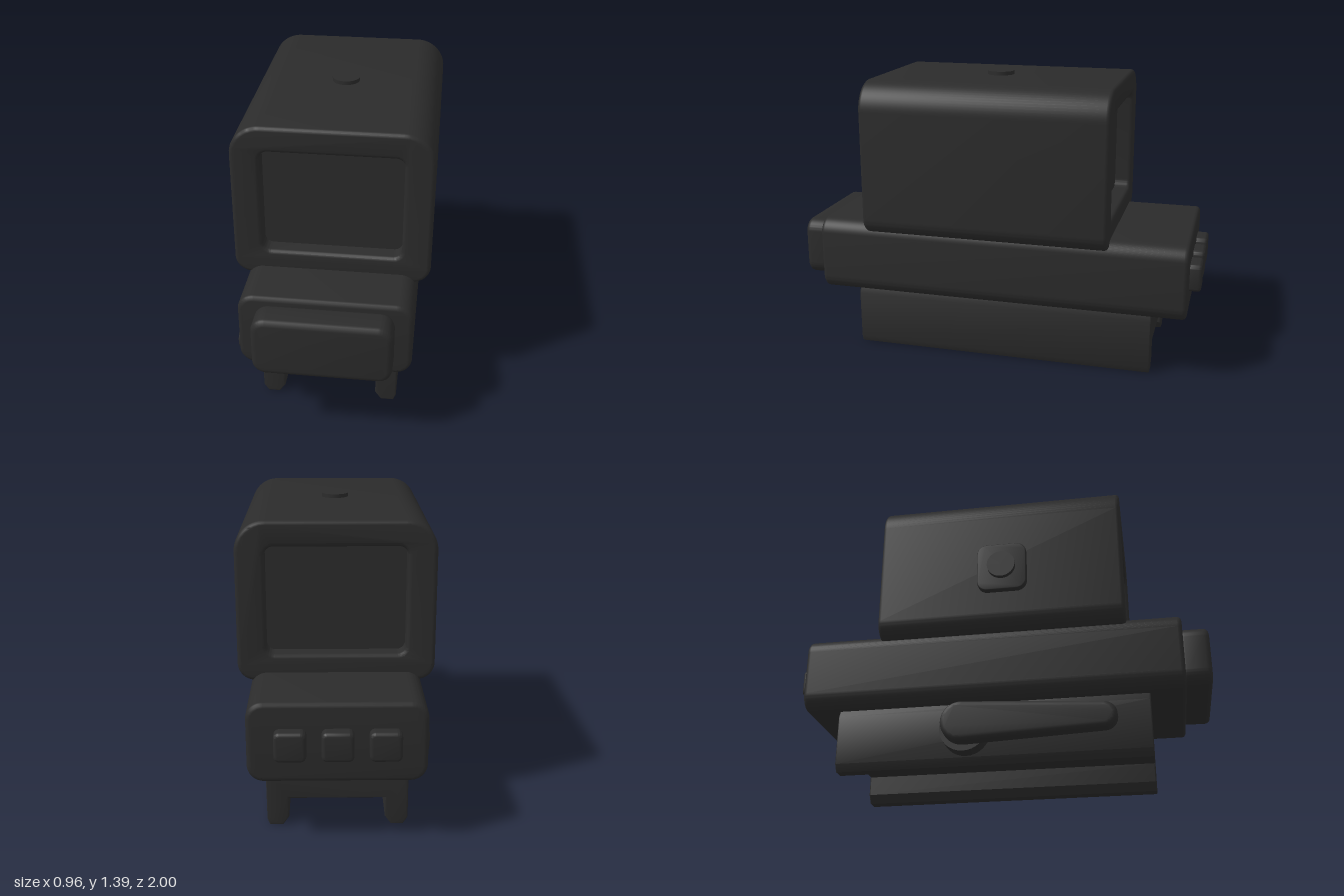
import * as THREE from 'three';
import { toCreasedNormals } from 'three/addons/utils/BufferGeometryUtils.js';

const black = new THREE.MeshStandardMaterial({ color: 0x2b2b2b });
black.name = 'matte black';

// Rounded rectangle outline with separate top and bottom corner radii
function roundRect(x0, x1, y0, y1, rt, rb = rt, Kind = THREE.Shape) {
  const s = new Kind();
  s.moveTo(x0 + rb, y0);
  s.lineTo(x1 - rb, y0);
  s.absarc(x1 - rb, y0 + rb, rb, -Math.PI / 2, 0, false);
  s.lineTo(x1, y1 - rt);
  s.absarc(x1 - rt, y1 - rt, rt, 0, Math.PI / 2, false);
  s.lineTo(x0 + rt, y1);
  s.absarc(x0 + rt, y1 - rt, rt, Math.PI / 2, Math.PI, false);
  s.lineTo(x0, y0 + rb);
  s.absarc(x0 + rb, y0 + rb, rb, Math.PI, Math.PI * 1.5, false);
  return s;
}

// Extrude from a to b with softened end edges that stay inside the outline
function extrude(shape, a, b, bevel) {
  const g = new THREE.ExtrudeGeometry(shape, {
    depth: b - a - 2 * bevel, bevelEnabled: true, bevelThickness: bevel,
    bevelSize: bevel, bevelOffset: -bevel, bevelSegments: 3, curveSegments: 8,
  });
  g.translate(0, 0, a + bevel);
  return g;
}

// Same, but the outline lies in the (z, y) plane and the depth runs along x
function extrudeSide(shape, x0, x1, bevel) {
  return extrude(shape, -x1, -x0, bevel).rotateY(-Math.PI / 2);
}

export function createModel() {
  const model = new THREE.Group();
  model.name = 'reflexSight';
  const add = (name, geometry) => {
    const mesh = new THREE.Mesh(toCreasedNormals(geometry, 0.6), black);
    mesh.name = name;
    model.add(mesh);
    return mesh;
  };

  // Hood: rounded tube with a window at both ends
  const hood = roundRect(-0.43, 0.475, 0.635, 1.38, 0.14, 0.08);
  hood.holes.push(roundRect(-0.297, 0.342, 0.76, 1.262, 0.04, 0.04, THREE.Path));
  add('hood', extrude(hood, -0.575, 0.62, 0.018));
  for (const [name, z] of [['frontLens', 0.53], ['rearLens', -0.485]]) {
    add(name, new THREE.BoxGeometry(0.66, 0.52, 0.02).translate(0.0225, 1.011, z));
  }

  // Main body and front cap
  add('body', extrude(roundRect(-0.37, 0.415, 0.308, 0.675, 0.075), -0.945, 0.875, 0.02));
  add('frontCap', extrude(roundRect(-0.29, 0.335, 0.35, 0.638, 0.065), 0.86, 1.0, 0.025));

  // Three rear buttons
  for (const x of [-0.185, 0.02, 0.225]) {
    add('rearButton', extrude(roundRect(x - 0.07, x + 0.07, 0.425, 0.56, 0.025), -1.0, -0.93, 0.015));
  }

  // Rail clamp with two legs
  const outline = [
    [-0.285, 0.315], [-0.302, 0.275], [-0.302, 0.04], [-0.28, 0.005], [-0.225, 0.005],
    [-0.197, 0.045], [-0.197, 0.14], [0.242, 0.14], [0.242, 0.045], [0.27, 0.005],
    [0.33, 0.005], [0.342, 0.035], [0.345, 0.275], [0.328, 0.315],
  ];
  const clamp = new THREE.Shape(outline.map(([x, y]) => new THREE.Vector2(x, y)));
  add('railClamp', extrude(clamp, -0.78, 0.71, 0.006));

  // Locking lever: pivot disc and tapered arm
  add('leverPivot', new THREE.CylinderGeometry(0.113, 0.113, 0.09, 32)
    .rotateZ(Math.PI / 2).translate(-0.335, 0.158, -0.15));
  const arm = new THREE.Shape();
  arm.absarc(-0.15, 0.165, 0.095, Math.PI * 0.49, Math.PI * 1.51, false);
  arm.absarc(0.5, 0.16, 0.06, -Math.PI * 0.48, Math.PI * 0.48, false);
  add('leverArm', extrudeSide(arm, -0.46, -0.37, 0.02));

  // Side plate with knob, and top button
  add('sidePlate', extrudeSide(roundRect(-0.08, 0.16, 0.82, 1.07, 0.05), -0.46, -0.41, 0.005));
  add('sideKnob', new THREE.CylinderGeometry(0.068, 0.068, 0.04, 32)
    .rotateZ(Math.PI / 2).translate(-0.463, 0.947, 0.04));
  add('topButton', new THREE.CylinderGeometry(0.065, 0.065, 0.04, 32).translate(0.022, 1.378, 0.042));

  return model;
}
